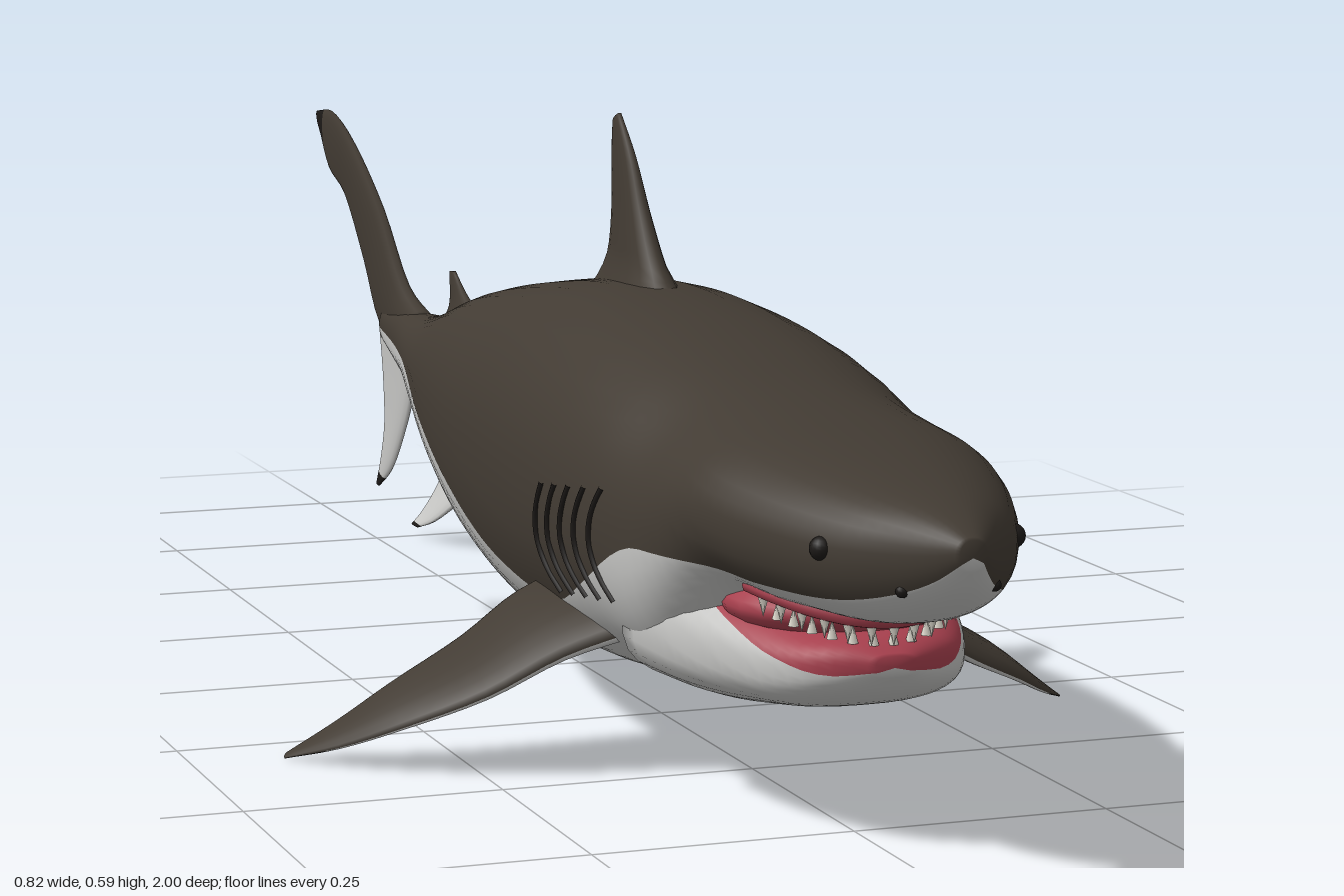
import * as THREE from 'three';

const mat = (name, color) => {
  const m = new THREE.MeshStandardMaterial({ color });
  m.name = name;
  return m;
};

// Closed skin through rings of points; matOf(i, j) picks the material index of each face
function loft(name, rings, materials, matOf = () => 0) {
  const n = rings[0].length, last = rings.length - 1, faces = materials.map(() => []);
  const pts = rings.flat();
  const centre = r => r.reduce((s, p) => s.add(p), new THREE.Vector3()).divideScalar(n);
  const c0 = pts.push(centre(rings[0])) - 1, c1 = pts.push(centre(rings[last])) - 1;
  for (let j = 0; j < n; j++) {
    const k = (j + 1) % n;
    for (let i = 0; i < last; i++) {
      const a = i * n + j, b = i * n + k;
      faces[matOf(i, j)].push(a, b, a + n, b, b + n, a + n);
    }
    faces[matOf(0, j)].push(c0, k, j);
    faces[matOf(last - 1, j)].push(c1, last * n + j, last * n + k);
  }
  // Turn every face outward
  let volume = 0;
  const cross = new THREE.Vector3();
  for (const f of faces) for (let i = 0; i < f.length; i += 3) {
    volume += pts[f[i]].dot(cross.crossVectors(pts[f[i + 1]], pts[f[i + 2]]));
  }
  if (volume < 0) faces.forEach(f => f.reverse());
  const geo = new THREE.BufferGeometry().setFromPoints(pts);
  geo.setIndex(faces.flat());
  let start = 0;
  faces.forEach((f, m) => { geo.addGroup(start, f.length, m); start += f.length; });
  geo.computeVertexNormals();
  const mesh = new THREE.Mesh(geo, materials);
  mesh.name = name;
  return mesh;
}

// Smooth lookup in rows of [z, top, bottom, halfWidth, colourLine], nose to tail
function profile(rows) {
  const curve = new THREE.CubicInterpolant(rows.map(r => -r[0]), rows.flatMap(r => r.slice(1)), 4);
  return z => Array.from(curve.evaluate(-z));
}

const ARC = 24;
const power = (v, p) => Math.sign(v) * Math.abs(v) ** p;

// Rounded section: the first ARC faces lie above the colour line, the rest below
function section([top, bottom, w, line], z, p) {
  const mid = (top + bottom) / 2, r = (top - bottom) / 2;
  const v = THREE.MathUtils.clamp((line - mid) / r, -0.97, 0.97);
  const a0 = Math.asin(power(v, 1 / p)), ring = [];
  for (let j = 0; j < 2 * ARC; j++) {
    const a = j < ARC ? a0 + (Math.PI - 2 * a0) * j / ARC
      : Math.PI - a0 + (Math.PI + 2 * a0) * (j - ARC) / ARC;
    ring.push(new THREE.Vector3(w * power(Math.cos(a), p), mid + r * power(Math.sin(a), p), z));
  }
  return ring;
}

const BODY = profile([
  [1, 0.312, 0.288, 0.012, 0.292], [0.98, 0.322, 0.265, 0.03, 0.275],
  [0.95, 0.332, 0.243, 0.053, 0.26], [0.9, 0.342, 0.222, 0.087, 0.247],
  [0.8, 0.358, 0.214, 0.13, 0.244], [0.72, 0.37, 0.208, 0.15, 0.248],
  [0.66, 0.378, 0.155, 0.159, 0.248], [0.6, 0.387, 0.105, 0.166, 0.243],
  [0.5, 0.408, 0.092, 0.177, 0.195], [0.4, 0.424, 0.077, 0.181, 0.157],
  [0.2, 0.433, 0.069, 0.173, 0.163], [0, 0.41, 0.09, 0.15, 0.202],
  [-0.2, 0.375, 0.135, 0.115, 0.237], [-0.4, 0.325, 0.193, 0.07, 0.264],
  [-0.5, 0.307, 0.216, 0.046, 0.265], [-0.6, 0.3, 0.228, 0.025, 0.265],
  [-0.7, 0.29, 0.25, 0.01, 0.268]]);
const JAW = profile([
  [0.838, 0.18, 0.163, 0.018, 0.166], [0.82, 0.19, 0.145, 0.053, 0.162],
  [0.78, 0.197, 0.125, 0.09, 0.172], [0.72, 0.213, 0.113, 0.118, 0.192],
  [0.65, 0.225, 0.104, 0.137, 0.21], [0.55, 0.23, 0.1, 0.15, 0.22]]);
const P = 0.88;

// Point on the body's side at a given z and height
function onSide(s, z, y, out = 0) {
  const [top, bottom, w] = BODY(z);
  const v = Math.min(1, Math.abs((y - (top + bottom) / 2) / ((top - bottom) / 2)));
  return new THREE.Vector3(s * (w * Math.sqrt(1 - v ** (2 / P)) ** P + out), y, z);
}

// Fin with a teardrop section; rows of [leading edge, trailing edge, half thickness]
function fin(name, rows, normal, materials, matOf) {
  const n = 16;
  const curveOf = k => new THREE.CatmullRomCurve3(rows.map(r => new THREE.Vector3(...r[k])));
  const lead = curveOf(0), trail = curveOf(1), steps = (rows.length - 1) * 4, rings = [];
  for (let i = 0; i <= steps; i++) {
    const u = i / steps, a = lead.getPoint(u), b = trail.getPoint(u);
    const q = Math.min(u * (rows.length - 1), rows.length - 1.001), k = Math.floor(q);
    const th = THREE.MathUtils.lerp(rows[k][2], rows[k + 1][2], q - k);
    rings.push(Array.from({ length: n }, (_, j) => {
      const t = 2 * Math.PI * j / n, c = Math.cos(t);
      return b.clone().lerp(a, (1 + c) / 2)
        .addScaledVector(normal, th * Math.sin(t) * (0.7 + 0.3 * c));
    }));
  }
  return loft(name, rings, materials, matOf && ((i, j) => matOf(i / steps, j < n / 2)));
}

// Upright fin in the middle plane; rows of [leadZ, leadY, trailZ, trailY, half thickness]
const uprightFin = (name, rows, ...rest) => fin(name,
  rows.map(([az, ay, bz, by, th]) => [[0, ay, az], [0, by, bz], th]),
  new THREE.Vector3(1, 0, 0), ...rest);

export function createModel() {
  const shark = new THREE.Group();
  shark.name = 'shark';
  const back = mat('brown grey back', 0x423b33), belly = mat('pale belly', 0xc6c6c4);
  const gum = mat('red gum', 0xa8404e), tooth = mat('ivory tooth', 0xdcd8cc);
  const dark = mat('dark marking', 0x1c1917);
  const add = (name, geo, m, parent = shark) => {
    const mesh = new THREE.Mesh(geo, m);
    mesh.name = name;
    parent.add(mesh);
    return mesh;
  };

  // Body and lower jaw
  const rings = [], jawRings = [];
  for (let i = 0; i <= 80; i++) {
    const z = 1 - 1.7 * (i / 80) ** 1.4;
    rings.push(section(BODY(z), z, P));
  }
  for (let i = 0; i <= 20; i++) {
    const z = 0.838 - 0.288 * (i / 20) ** 1.5;
    jawRings.push(section(JAW(z), z, 0.75));
  }
  const upperLower = (i, j) => (j < ARC ? 0 : 1);
  shark.add(loft('body', rings, [back, belly], upperLower));
  shark.add(loft('lowerJaw', jawRings, [gum, belly], upperLower));

  // Mouth lining, gums and teeth
  const mouth = new THREE.Group();
  mouth.name = 'mouth';
  shark.add(mouth);
  const lining = add('mouthLining', new THREE.SphereGeometry(1, 24, 16), gum, mouth);
  lining.scale.set(0.108, 0.034, 0.1);
  lining.position.set(0, 0.208, 0.705);
  const arch = (a, w, depth, y, z, rise) => new THREE.Vector3(
    w * Math.sin(a), y + rise * Math.sin(a) ** 2, z + depth * Math.cos(a));
  const upper = a => arch(a, 0.102, 0.11, 0.212, 0.725, 0.022);
  const lower = a => arch(a, 0.092, 0.088, 0.192, 0.735, 0.022);
  const gumPath = new THREE.CatmullRomCurve3(
    Array.from({ length: 9 }, (_, i) => upper(-1.4 + 0.35 * i)));
  add('upperGum', new THREE.TubeGeometry(gumPath, 40, 0.008, 8), gum, mouth);
  for (let i = 0; i < 13; i++) {
    const a = -1.2 + 0.2 * i;
    const top = add('upperTooth', new THREE.ConeGeometry(0.006, 0.022, 6), tooth, mouth);
    top.position.copy(upper(a)).y -= 0.013;
    top.rotation.x = Math.PI;
    const low = add('lowerTooth', new THREE.ConeGeometry(0.005, 0.018, 6), tooth, mouth);
    low.position.copy(lower(a + 0.05)).y += 0.004;
  }

  // Fins along the middle
  shark.add(uprightFin('dorsalFin', [
    [0.31, 0.405, 0.03, 0.4, 0.045], [0.245, 0.45, 0.09, 0.45, 0.022],
    [0.203, 0.5, 0.102, 0.5, 0.015], [0.165, 0.555, 0.1, 0.55, 0.009],
    [0.125, 0.595, 0.103, 0.585, 0.004]], [back]));
  shark.add(uprightFin('secondDorsalFin', [
    [-0.34, 0.325, -0.49, 0.3, 0.014], [-0.395, 0.347, -0.452, 0.325, 0.007],
    [-0.43, 0.367, -0.45, 0.365, 0.003]], [back]));
  shark.add(uprightFin('analFin', [
    [-0.42, 0.215, -0.5, 0.23, 0.01], [-0.47, 0.203, -0.52, 0.212, 0.005],
    [-0.525, 0.193, -0.54, 0.197, 0.002]], [belly]));
  shark.add(uprightFin('tailUpperLobe', [
    [-0.53, 0.3, -0.64, 0.255, 0.022], [-0.62, 0.328, -0.73, 0.268, 0.015],
    [-0.72, 0.41, -0.795, 0.335, 0.011], [-0.85, 0.482, -0.88, 0.41, 0.008],
    [-0.93, 0.507, -0.95, 0.437, 0.006], [-1, 0.502, -0.985, 0.475, 0.003]],
  [back, dark], u => (u > 0.85 ? 1 : 0)));
  shark.add(uprightFin('tailLowerLobe', [
    [-0.56, 0.262, -0.735, 0.27, 0.012], [-0.59, 0.21, -0.72, 0.21, 0.009],
    [-0.625, 0.16, -0.715, 0.15, 0.007], [-0.685, 0.097, -0.73, 0.105, 0.005],
    [-0.738, 0.068, -0.75, 0.07, 0.002]], [belly, dark], u => (u > 0.86 ? 1 : 0)));

  for (const s of [1, -1]) {
    const side = s > 0 ? 'left' : 'right';
    // Paired fins
    shark.add(fin(side + 'PectoralFin', [
      [[s * 0.11, 0.145, 0.5], [s * 0.11, 0.18, 0.33], 0.024],
      [[s * 0.18, 0.118, 0.475], [s * 0.18, 0.155, 0.335], 0.018],
      [[s * 0.25, 0.08, 0.455], [s * 0.24, 0.115, 0.34], 0.014],
      [[s * 0.32, 0.046, 0.412], [s * 0.31, 0.075, 0.34], 0.01],
      [[s * 0.37, 0.02, 0.365], [s * 0.36, 0.038, 0.325], 0.006],
      [[s * 0.41, 0.002, 0.315], [s * 0.405, 0.005, 0.305], 0.002]],
    new THREE.Vector3(s * 0.45, 0.89, 0), [back, belly, dark],
    (u, above) => (above ? 0 : u > 0.82 ? 2 : 1)));
    shark.add(fin(side + 'PelvicFin', [
      [[s * 0.045, 0.175, -0.17], [s * 0.035, 0.195, -0.33], 0.012],
      [[s * 0.065, 0.14, -0.215], [s * 0.055, 0.15, -0.315], 0.008],
      [[s * 0.08, 0.112, -0.26], [s * 0.075, 0.115, -0.317], 0.005],
      [[s * 0.088, 0.1, -0.295], [s * 0.088, 0.1, -0.318], 0.002]],
    new THREE.Vector3(s * 0.9, 0.43, 0), [belly, dark], u => (u > 0.85 ? 1 : 0)));

    // Eye and nostril
    const eye = add(side + 'Eye', new THREE.SphereGeometry(0.011, 16, 12), dark);
    eye.position.copy(onSide(s, 0.885, 0.29, -0.005));
    const nostril = add(side + 'Nostril', new THREE.SphereGeometry(0.006, 10, 8), dark);
    nostril.position.copy(onSide(s, 0.95, 0.262, -0.003));

    // Gill slits, bowed toward the tail
    for (let i = 0; i < 5; i++) {
      const z = 0.56 - 0.034 * i, path = [];
      for (let k = 0; k <= 6; k++) {
        const t = k / 6;
        path.push(onSide(s, z - 0.025 * Math.sin(Math.PI * t) - 0.015 * t,
          0.185 + 0.105 * t - 0.004 * i));
      }
      add(side + 'GillSlit', new THREE.TubeGeometry(
        new THREE.CatmullRomCurve3(path), 20, 0.0035, 6), dark);
    }
  }
  return shark;
}
